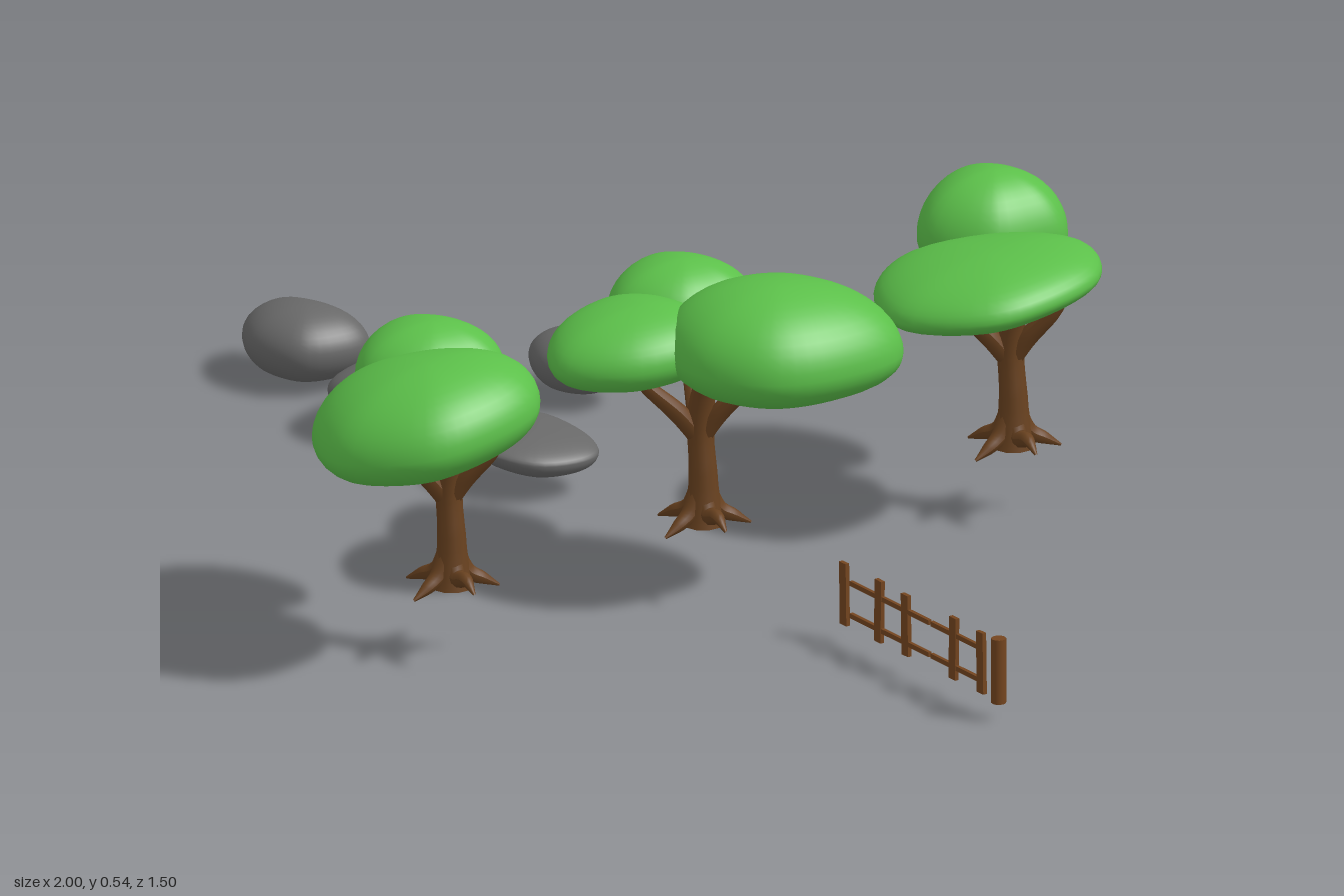
import * as THREE from 'three';
import { mergeVertices } from 'three/addons/utils/BufferGeometryUtils.js';

const leaf = new THREE.MeshStandardMaterial({ color: 0x5cc04a, name: 'leaf green' });
const bark = new THREE.MeshStandardMaterial({ color: 0x68411f, name: 'bark brown' });
const wood = new THREE.MeshStandardMaterial({ color: 0x74451f, name: 'fence brown' });
const stone = new THREE.MeshStandardMaterial({ color: 0x686868, name: 'stone grey' });

function add(parent, geometry, material, name) {
  const mesh = new THREE.Mesh(geometry, material);
  mesh.name = name;
  parent.add(mesh);
  return mesh;
}

// Rounded lump: a sphere stretched to a plan outline ([x, z] pairs), with a
// bottom, rim and top height, and the rim tilted along x and z.
function lump(outline, [bottom, rim, top], { tiltX = 0, tiltZ = 0, under = 0.85, apex } = {}) {
  const pts = outline.map(([x, z]) => new THREE.Vector3(x, 0, z));
  const curve = new THREE.CatmullRomCurve3(pts, true, 'centripetal');
  const centre = pts.reduce((s, p) => s.add(p), new THREE.Vector3()).divideScalar(pts.length);
  let geo = new THREE.SphereGeometry(1, 40, 24);
  geo.deleteAttribute('uv');
  geo.deleteAttribute('normal');
  geo = mergeVertices(geo, 1e-5);
  const pos = geo.attributes.position;
  for (let i = 0; i < pos.count; i++) {
    const x = pos.getX(i), y = pos.getY(i), z = pos.getZ(i);
    const t = (Math.atan2(z, x) / (2 * Math.PI) + 1) % 1;
    const p = curve.getPoint(t);
    const k = Math.pow(Math.hypot(x, z), y < 0 ? under : 1);
    const ax = apex && y > 0 ? apex[0] : centre.x, az = apex && y > 0 ? apex[1] : centre.z;
    // The centre drifts to the apex gradually above the rim
    const lift = Math.max(y, 0);
    const cx = centre.x + (ax - centre.x) * lift, cz = centre.z + (az - centre.z) * lift;
    const dx = (p.x - centre.x) * k, dz = (p.z - centre.z) * k;
    const h = y > 0 ? y * (top - rim) : y * (rim - bottom);
    pos.setXYZ(i, cx + dx, rim + h + tiltX * dx + tiltZ * dz, cz + dz);
  }
  geo.computeVertexNormals();
  return geo;
}

// Tapered tube through points, its radius following the list of radii
function limb(points, radii) {
  const rings = 14, sides = 10;
  const curve = new THREE.CatmullRomCurve3(points.map(p => new THREE.Vector3(...p)));
  const geo = new THREE.TubeGeometry(curve, rings, 1, sides);
  const pos = geo.attributes.position, v = new THREE.Vector3();
  for (let i = 0; i < pos.count; i++) {
    const t = Math.floor(i / (sides + 1)) / rings;
    const f = t * (radii.length - 1), a = Math.min(Math.floor(f), radii.length - 2);
    const r = THREE.MathUtils.lerp(radii[a], radii[a + 1], f - a);
    const c = curve.getPointAt(t);
    v.fromBufferAttribute(pos, i).sub(c).multiplyScalar(r).add(c);
    pos.setXYZ(i, v.x, v.y, v.z);
  }
  geo.computeVertexNormals();
  return geo;
}

// Plan outlines of the leaf crowns, measured from the trunk
const wideCrown = [[0.2, 0.08], [0.175, 0.17], [0.05, 0.25], [-0.09, 0.2], [-0.145, 0.11], [-0.07, -0.04], [0.06, -0.107], [0.17, -0.05]];
const sideCrown = [[-0.034, -0.08], [-0.05, 0.005], [-0.146, 0.064], [-0.23, 0.01], [-0.262, -0.064], [-0.205, -0.14], [-0.098, -0.17], [-0.04, -0.133]];
const middleCrown = [[0.266, -0.08], [0.23, 0.033], [0.116, 0.097], [-0.02, 0.06], [-0.07, -0.037], [-0.023, -0.18], [0.127, -0.256], [0.24, -0.22]];
const frontCrown = [[0.068, 0.06], [0.04, 0.166], [-0.055, 0.236], [-0.156, 0.177], [-0.183, 0.07], [-0.124, 0], [-0.02, -0.026], [0.047, 0.006]];

function makeTree(name, z, crowns) {
  const tree = new THREE.Group();
  tree.name = name;
  tree.position.set(0.25, 0, z);
  // Trunk and branches
  add(tree, limb([[0.008, 0.12, 0], [0.008, 0.2, 0], [0, 0.29, 0], [0.012, 0.35, 0], [0.04, 0.41, 0]],
    [0.034, 0.024, 0.021, 0.022, 0.018, 0.01]), bark, 'trunk');
  for (const end of [[-0.12, 0.385, -0.055], [-0.04, 0.385, 0.11], [0.08, 0.4, -0.06]]) {
    add(tree, limb([[0, 0.26, 0], [end[0] * 0.3, 0.305, end[2] * 0.3], [end[0] * 0.7, 0.35, end[2] * 0.7], end],
      [0.016, 0.016, 0.013, 0.008]), bark, 'branch');
  }
  // Spreading roots
  [[0.2, 0.092, 0.135], [1.5, 0.076, 0.112], [2.8, 0.085, 0.115], [4.0, 0.075, 0.112], [5.1, 0.078, 0.115]].forEach(([a, r, y]) => {
    const at = (d, h) => [0.006 + Math.cos(a) * d, h, Math.sin(a) * d];
    add(tree, limb([at(0.005, 0.175), at(0.026, 0.142), at(r * 0.65, y + 0.014), at(r, y)],
      [0.018, 0.015, 0.011, 0.002]), bark, 'root');
  });
  for (const [outline, heights, options] of crowns) add(tree, lump(outline, heights, options), leaf, 'leafCrown');
  return tree;
}

function makeFence() {
  const fence = new THREE.Group();
  fence.name = 'fence';
  fence.position.z = -0.045;
  // Flat pickets: x and height of the top
  [[0.565, 0.136], [0.66, 0.136], [0.733, 0.134], [0.863, 0.136], [0.938, 0.134]].forEach(([x, top], i) => {
    const h = top - 0.032;
    const picket = add(fence, new THREE.BoxGeometry(0.018, h, 0.007), wood, 'picket');
    picket.position.set(x, 0.032 + h / 2, 0);
    picket.rotation.z = (i % 2 ? -1 : 1) * 0.02;
  });
  // Round end post
  add(fence, new THREE.CylinderGeometry(0.012, 0.012, 0.108, 12), wood, 'endPost').position.set(0.985, 0.084, 0);
  // Rails, in two lengths each
  for (const y of [0.107, 0.053]) {
    for (const [a, b] of [[0.583, 0.798], [0.803, 0.935]]) {
      add(fence, new THREE.BoxGeometry(b - a, 0.008, 0.006), wood, 'rail').position.set((a + b) / 2, y, 0);
    }
  }
  return fence;
}

function makeRocks() {
  const rocks = new THREE.Group();
  rocks.name = 'rocks';
  const list = [
    [[[-0.79, -0.05], [-0.815, 0.03], [-0.905, 0.06], [-0.985, 0.015], [-1, -0.04], [-0.93, -0.09], [-0.835, -0.11], [-0.8, -0.095]],
      [0.01, 0.068, 0.13], { under: 0.75 }],
    [[[-0.445, -0.055], [-0.495, 0.03], [-0.62, 0.09], [-0.68, 0.07], [-0.73, -0.04], [-0.71, -0.125], [-0.6, -0.165], [-0.49, -0.145]],
      [0, 0.085, 0.128], { tiltX: 0.14, under: 1.25 }],
    [[[-0.195, -0.08], [-0.215, 0], [-0.3, 0.05], [-0.365, 0.03], [-0.375, -0.04], [-0.355, -0.105], [-0.265, -0.135], [-0.21, -0.12]],
      [0.038, 0.078, 0.1], { tiltX: -0.16 }],
    [[[-0.485, -0.33], [-0.505, -0.29], [-0.57, -0.26], [-0.64, -0.29], [-0.655, -0.335], [-0.625, -0.385], [-0.56, -0.4], [-0.505, -0.385]],
      [0.018, 0.068, 0.117], { under: 0.8 }],
  ];
  for (const [outline, heights, options] of list) add(rocks, lump(outline, heights, options), stone, 'rock');
  return rocks;
}

export function createModel() {
  const model = new THREE.Group();
  model.name = 'gardenSet';
  model.add(
    makeTree('backTree', -0.588, [
      [wideCrown, [0.372, 0.415, 0.475], { tiltZ: -0.13, tiltX: 0.06 }],
      [sideCrown, [0.35, 0.425, 0.53], { under: 0.75 }],
    ]),
    makeTree('middleTree', 0.01, [
      [middleCrown, [0.355, 0.425, 0.54], { under: 0.7 }],
      [sideCrown, [0.36, 0.425, 0.51], { under: 0.75 }],
      [frontCrown, [0.365, 0.42, 0.49], { tiltZ: -0.1 }],
    ]),
    makeTree('frontTree', 0.495, [
      [wideCrown, [0.35, 0.42, 0.525], { tiltZ: -0.16, tiltX: 0.08, under: 0.75 }],
      [sideCrown, [0.355, 0.425, 0.51], { under: 0.75 }],
    ]),
    makeFence(),
    makeRocks(),
  );
  return model;
}
